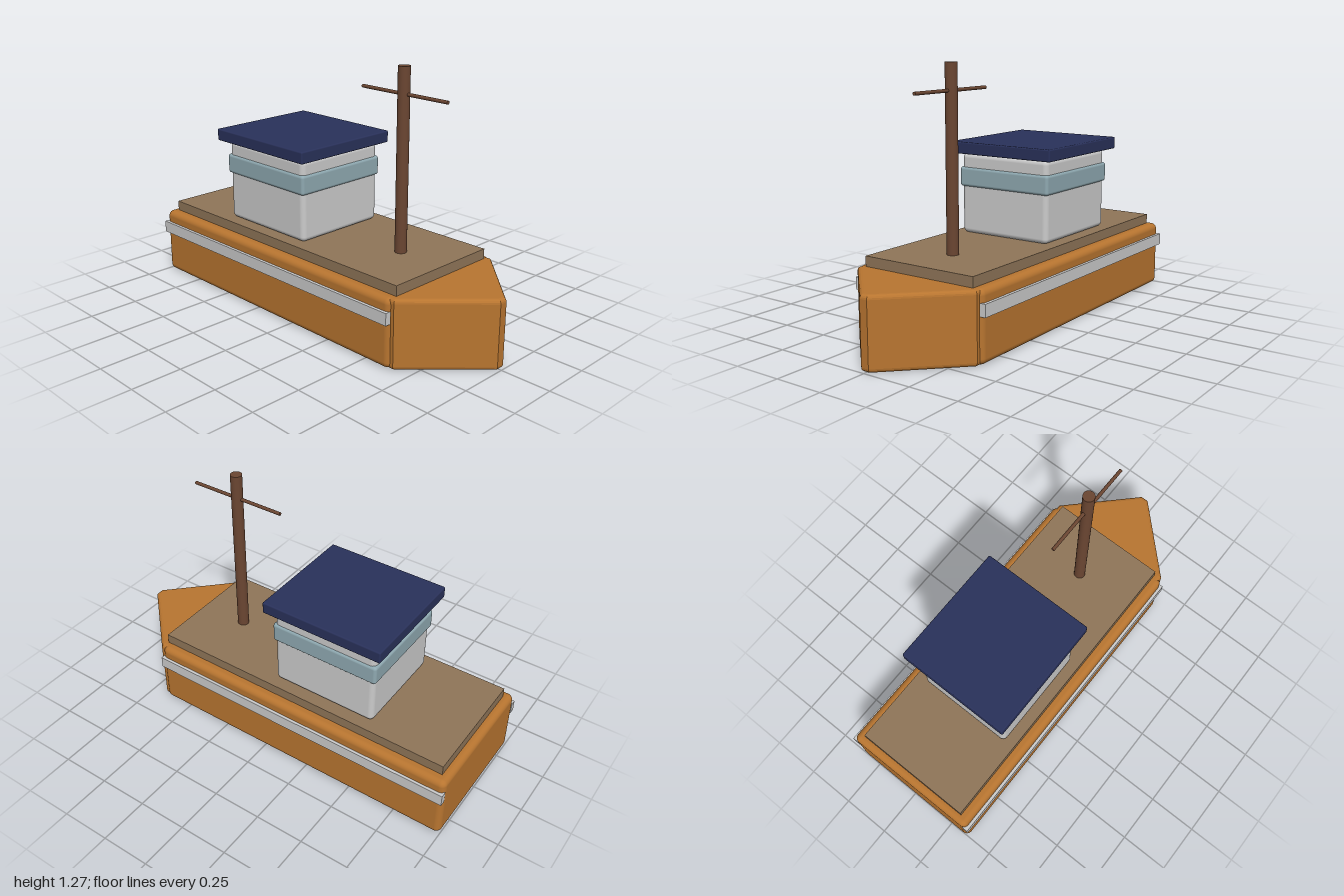
import * as THREE from 'three';
import { RoundedBoxGeometry } from 'three/addons/geometries/RoundedBoxGeometry.js';

const material = (color) => new THREE.MeshStandardMaterial({ color });

export function createModel() {
  const boat = new THREE.Group();
  boat.name = 'boat';
  const orange = material(0xb87530);
  const grey = material(0xcccccc);
  const planks = material(0x8f7558);
  const glass = material(0x8fa9b1);
  const navy = material(0x29315a);
  const wood = material(0x6b4632);

  const add = (name, geometry, mat, x = 0, y = 0, z = 0) => {
    const mesh = new THREE.Mesh(geometry, mat);
    mesh.name = name;
    mesh.position.set(x, y, z);
    boat.add(mesh);
    return mesh;
  };
  // Box given by its extents along x and y and its half width in z
  const block = (name, mat, x0, x1, y0, y1, halfZ, radius = 0) => {
    const size = [x1 - x0, y1 - y0, halfZ * 2];
    const geometry = radius
      ? new RoundedBoxGeometry(...size, 4, radius)
      : new THREE.BoxGeometry(...size);
    return add(name, geometry, mat, (x0 + x1) / 2, (y0 + y1) / 2, 0);
  };

  // Hull and pointed bow with softened edges
  block('hull', orange, -1, 0.655, 0, 0.34, 0.36, 0.03);
  const bowShape = new THREE.Shape([
    [0.58, -0.325], [0.65, -0.325], [0.963, -0.012],
    [0.963, 0.012], [0.65, 0.325], [0.58, 0.325],
  ].map(([x, z]) => new THREE.Vector2(x, z)));
  const bow = new THREE.ExtrudeGeometry(bowShape, {
    depth: 0.3, bevelEnabled: true, bevelThickness: 0.02, bevelSize: 0.02, bevelSegments: 4,
  });
  bow.rotateX(-Math.PI / 2);
  add('bow', bow, orange, 0.01, 0.02, 0);

  // Rub rails along both sides
  for (const side of [1, -1]) {
    const name = side > 0 ? 'frontRail' : 'backRail';
    add(name, new THREE.BoxGeometry(1.65, 0.06, 0.03), grey, -0.175, 0.25, side * 0.36);
  }

  block('deck', planks, -0.96, 0.65, 0.335, 0.39, 0.31);

  // Cabin, window band and roof
  block('cabin', grey, -0.555, -0.005, 0.39, 0.8, 0.255, 0.025);
  block('windowBand', glass, -0.565, 0.003, 0.63, 0.73, 0.263, 0.015);
  block('roof', navy, -0.6, 0.035, 0.8, 0.86, 0.295, 0.007);

  // Mast and yard
  add('mast', new THREE.CylinderGeometry(0.029, 0.029, 0.885, 32), wood, 0.395, 0.8325, 0);
  const yard = add('yard', new THREE.CylinderGeometry(0.0085, 0.0085, 0.51, 16), wood, 0.395, 1.147, 0);
  yard.rotation.z = Math.PI / 2;

  return boat;
}
